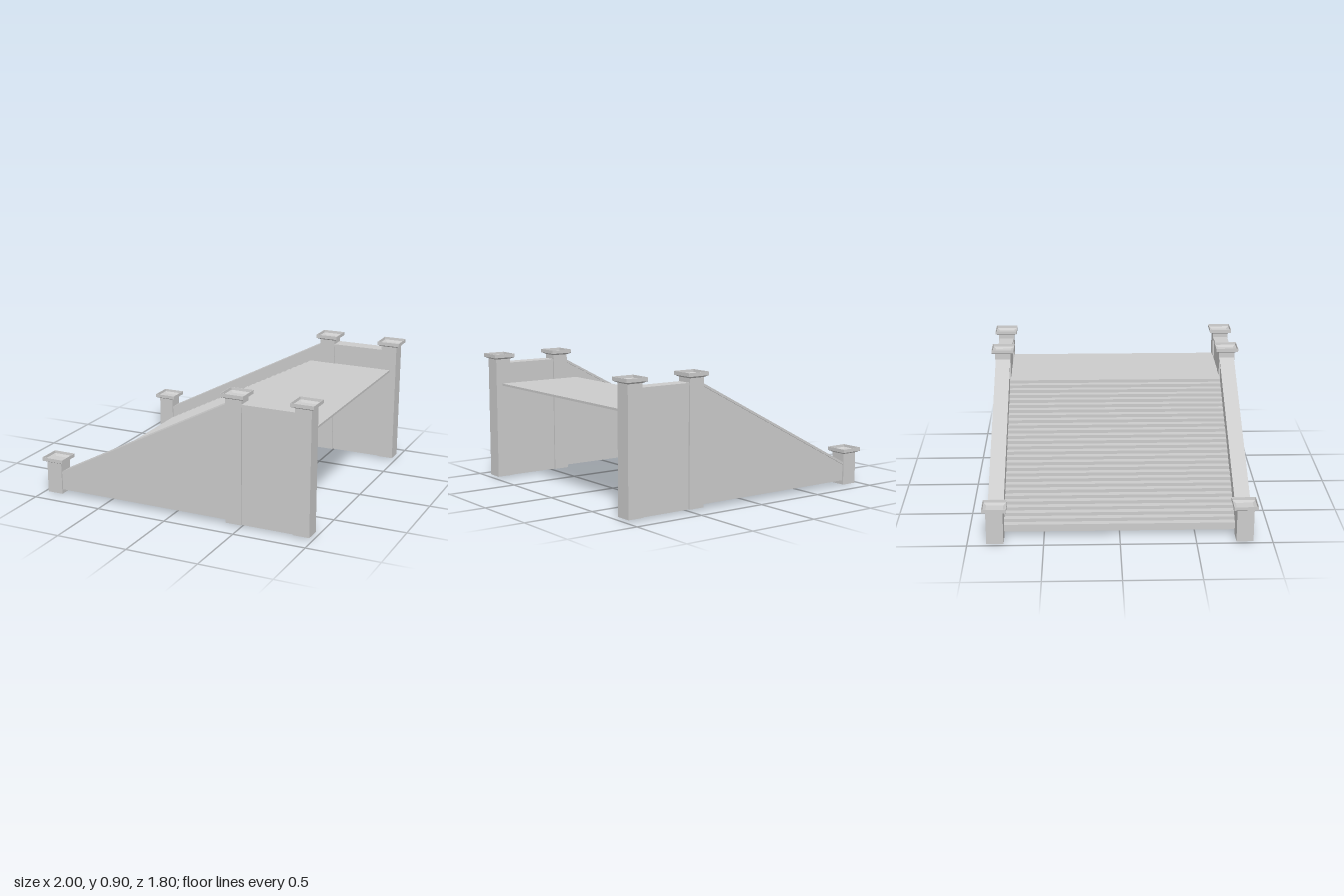
import * as THREE from 'three';

const material = new THREE.MeshStandardMaterial({
  color: 0xcccccc, flatShading: true, side: THREE.DoubleSide,
});
const SIDE_Z = 0.818;

// Outline in the xy plane, extruded to a width centred on z
function slab(name, outline, width, z = 0) {
  const shape = new THREE.Shape(outline.map(([x, y]) => new THREE.Vector2(x, y)));
  const geometry = new THREE.ExtrudeGeometry(shape, { depth: width, bevelEnabled: false });
  geometry.translate(0, 0, z - width / 2);
  const mesh = new THREE.Mesh(geometry, material);
  mesh.name = name;
  return mesh;
}

// Square turned profile: half-widths against height
function squareLathe(name, profile) {
  const points = profile.map(([h, y]) => new THREE.Vector2(h * Math.SQRT2, y));
  const mesh = new THREE.Mesh(new THREE.LatheGeometry(points, 4, Math.PI / 4), material);
  mesh.name = name;
  return mesh;
}

// Hollow square post with a flared, dished cap
function post(name, x, z, bottom, top) {
  const group = new THREE.Group();
  group.name = name;
  const neck = top - 0.036;
  group.add(squareLathe('postShaft', [[0.056, bottom], [0.056, neck]]));
  group.add(squareLathe('postCap', [
    [0.056, neck], [0.08, top - 0.024], [0.08, top],
    [0.077, top], [0.075, top - 0.018], [0.056, neck + 0.006], [0, neck + 0.006],
  ]));
  group.position.set(x, 0, z);
  return group;
}

// Thin folded sheet of steps running into the level deck
function stairAndDeck() {
  const steps = 27, run = 0.043, startX = -0.855, startY = 0.08, deckY = 0.686;
  const rise = (deckY - startY) / steps, t = 0.015;
  const upper = [[startX, 0.03]], lower = [[startX + t, 0.03]];
  for (let i = 0; i <= steps; i++) {
    const x = startX + i * run, y = startY + i * rise;
    const nextX = i === steps ? 0.93 : x + run;
    upper.push([x, y], [nextX, y]);
    lower.push([x + t, y - t], [i === steps ? nextX : nextX + t, y - t]);
  }
  return slab('stairsAndDeck', [...upper, ...lower.reverse()], 1.53);
}

export function createModel() {
  const model = new THREE.Group();
  model.name = 'staircase';
  model.add(stairAndDeck());

  for (const s of [1, -1]) {
    const z = s * SIDE_Z;
    const side = new THREE.Group();
    side.name = s > 0 ? 'frontBalustrade' : 'backBalustrade';

    side.add(post('lowPost', -0.92, z, 0, 0.256));
    side.add(post('middlePost', 0.443, z, 0.012, 0.897));
    side.add(post('endPost', 0.92, z, 0.012, 0.897));

    // Solid panels between the posts
    side.add(slab('slopedPanel',
      [[-0.87, 0.03], [0.39, 0.03], [0.39, 0.805], [-0.87, 0.14]], 0.09, z));
    side.add(slab('levelPanel',
      [[0.495, 0.012], [0.866, 0.012], [0.866, 0.815], [0.495, 0.815]], 0.09, z));

    // Handrails capping the panels
    side.add(slab('slopedRail',
      [[-0.87, 0.14], [0.39, 0.805], [0.39, 0.823], [-0.87, 0.158]], 0.105, z));
    side.add(slab('levelRail',
      [[0.495, 0.815], [0.866, 0.815], [0.866, 0.832], [0.495, 0.832]], 0.105, z));

    model.add(side);
  }
  return model;
}
